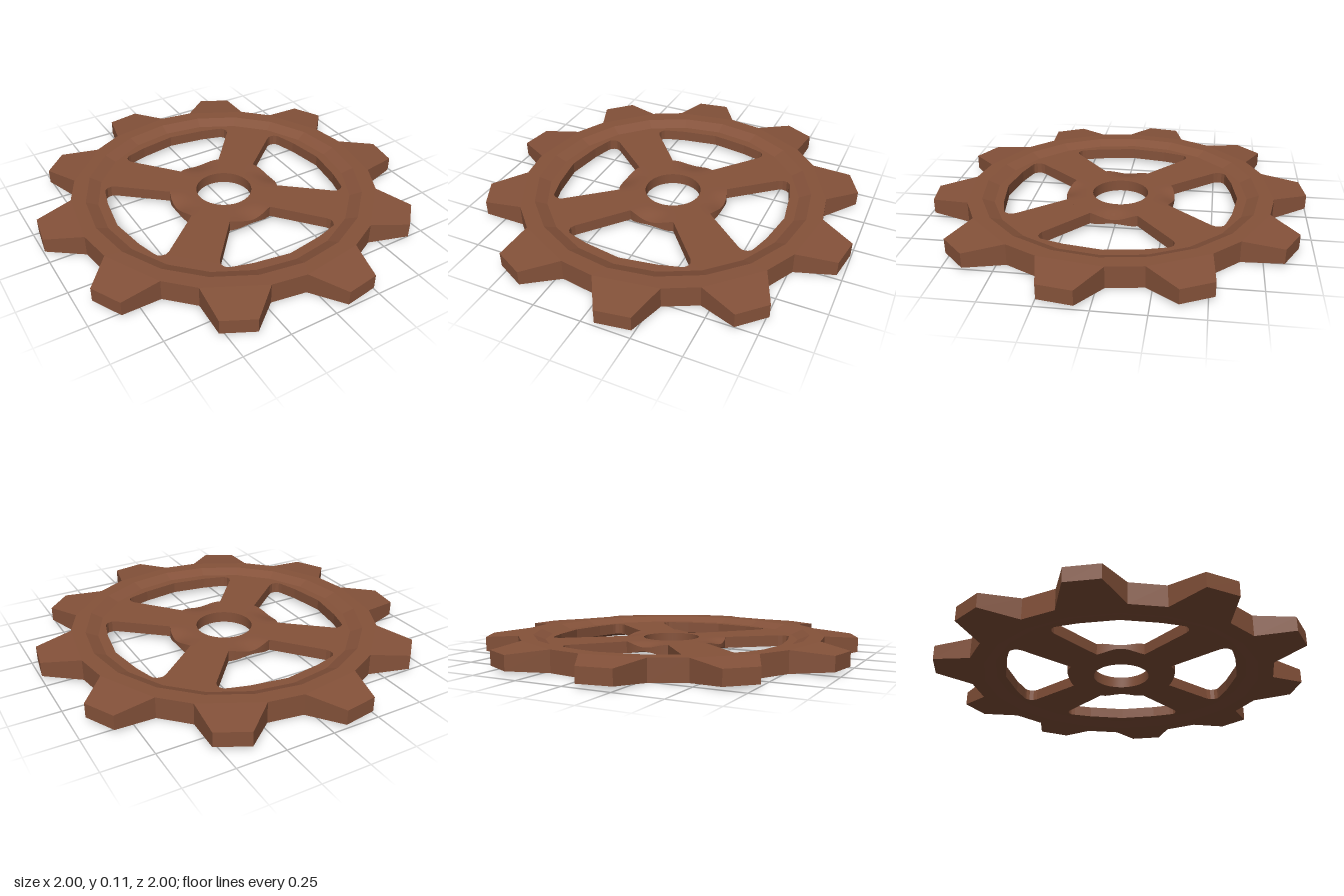
import * as THREE from 'three';

const MID = 0.056;                 // half the overall thickness
const RIM = 0.056, TIP = 0.038, WEB = 0.03;
const HUB_R = 0.294, HOLE_R = 0.15;
const rad = THREE.MathUtils.degToRad;

// Point at radius r, angle in degrees (seen from above), height y
const polar = (r, deg, y) => [r * Math.cos(rad(deg)), y, -r * Math.sin(rad(deg))];

// Faceted geometry from a list of quads (counter-clockwise from outside)
function quadGeometry(quads) {
  const pos = [];
  for (const [a, b, c, d] of quads) pos.push(...a, ...b, ...c, ...a, ...c, ...d);
  const g = new THREE.BufferGeometry();
  g.setAttribute('position', new THREE.Float32BufferAttribute(pos, 3));
  g.computeVertexNormals();
  return g;
}

// Toothed rim: 20 segments, alternately tooth and valley
function rimGeometry() {
  const quads = [];
  const inner = (i, s) => polar(0.68, 18 * i, MID + s * WEB);
  const lip = (i, s) => polar(0.743, 18 * i, MID + s * RIM);
  const base = (i, s) => polar(0.82, 18 * i + (i % 2 ? -2.6 : 2.6), MID + s * RIM);
  const tip = (i, s) => polar(1.0, 18 * i + (i % 2 ? 4 : -4), MID + s * TIP);
  for (let i = 0; i < 20; i++) {
    const j = i + 1;
    const band = (p, q) => {       // matching faces on top and bottom
      quads.push([p(i, 1), q(i, 1), q(j, 1), p(j, 1)]);
      quads.push([p(j, -1), q(j, -1), q(i, -1), p(i, -1)]);
    };
    band(inner, lip);
    band(lip, base);
    const wall = (p, a, q, b) => quads.push([p(a, -1), q(b, -1), q(b, 1), p(a, 1)]);
    if (i % 2) {                   // tooth
      band(base, tip);
      wall(base, i, tip, i);
      wall(tip, i, tip, j);
      wall(tip, j, base, j);
    } else wall(base, i, base, j); // valley
  }
  return quadGeometry(quads);
}

// One quarter of the web: a diagonal spoke with half a window on each side
function spokeGeometry() {
  const edge = [[0.63, 0], [0.599, 0.195], [0.57, 0.295], [0.562, 0.315],
    [0.545, 0.327], [0.522, 0.33], [0.5, 0.32], [0.267, 0.123]];
  const pts = [...edge];
  for (let k = 1; k < 8; k++) {
    const a = rad(24.7 + 40.6 * k / 8);
    pts.push([HUB_R * Math.cos(a), HUB_R * Math.sin(a)]);
  }
  pts.push(...edge.slice().reverse().map(([x, y]) => [y, x]));
  for (let k = 5; k >= 0; k--) pts.push([0.68 * Math.cos(rad(18 * k)), 0.68 * Math.sin(rad(18 * k))]);
  const shape = new THREE.Shape(pts.map(([x, y]) => new THREE.Vector2(x, y)));
  const g = new THREE.ExtrudeGeometry(shape, { depth: WEB * 2, bevelEnabled: false });
  return g.rotateX(-Math.PI / 2).translate(0, MID - WEB, 0);
}

// Hub half-thickness: full along the spokes, dipping towards each window
function hubHalf(r, deg) {
  const off = Math.abs(((deg + 45) % 90) - 45);
  const across = off < 25 ? Math.cos(rad(off * 3.6)) ** 2 : 0;
  return WEB - 0.021 * across * THREE.MathUtils.smoothstep(r, 0.185, HUB_R + 0.02);
}

// Smooth closed strip around the axis through a list of [radius, side] rings
function hubStrip(rings) {
  const n = 96, pos = [], idx = [];
  for (const [r, s] of rings) {
    for (let k = 0; k < n; k++) {
      const deg = 360 * k / n;
      pos.push(...polar(r, deg, MID + s * hubHalf(r, deg)));
    }
  }
  for (let m = 0; m < rings.length - 1; m++) {
    for (let k = 0; k < n; k++) {
      const a = m * n + k, b = m * n + (k + 1) % n;
      idx.push(a, a + n, b, b, a + n, b + n);
    }
  }
  const g = new THREE.BufferGeometry();
  g.setAttribute('position', new THREE.Float32BufferAttribute(pos, 3));
  g.setIndex(idx);
  g.computeVertexNormals();
  return g;
}

export function createModel() {
  const brown = new THREE.MeshStandardMaterial({ color: 0x85523a });
  brown.name = 'rusty brown';
  const model = new THREE.Group();
  model.name = 'gear';
  const add = (name, geometry, parent = model) => {
    const mesh = new THREE.Mesh(geometry, brown);
    mesh.name = name;
    parent.add(mesh);
    return mesh;
  };

  add('toothedRim', rimGeometry());

  // Four diagonal spokes
  const spoke = spokeGeometry();
  for (let k = 0; k < 4; k++) add('spoke' + (k + 1), spoke).rotation.y = k * Math.PI / 2;

  // Hub with central bore
  const hub = new THREE.Group();
  hub.name = 'hub';
  model.add(hub);
  const radii = [];
  for (let k = 0; k <= 8; k++) radii.push(HOLE_R + (HUB_R - HOLE_R) * k / 8);
  add('hubTop', hubStrip(radii.map(r => [r, 1])), hub);
  add('hubBottom', hubStrip(radii.map(r => [r, -1]).reverse()), hub);
  add('hubOuterWall', hubStrip([[HUB_R, 1], [HUB_R, -1]]), hub);
  add('hubBore', hubStrip([[HOLE_R, -1], [HOLE_R, 1]]), hub);

  return model;
}
